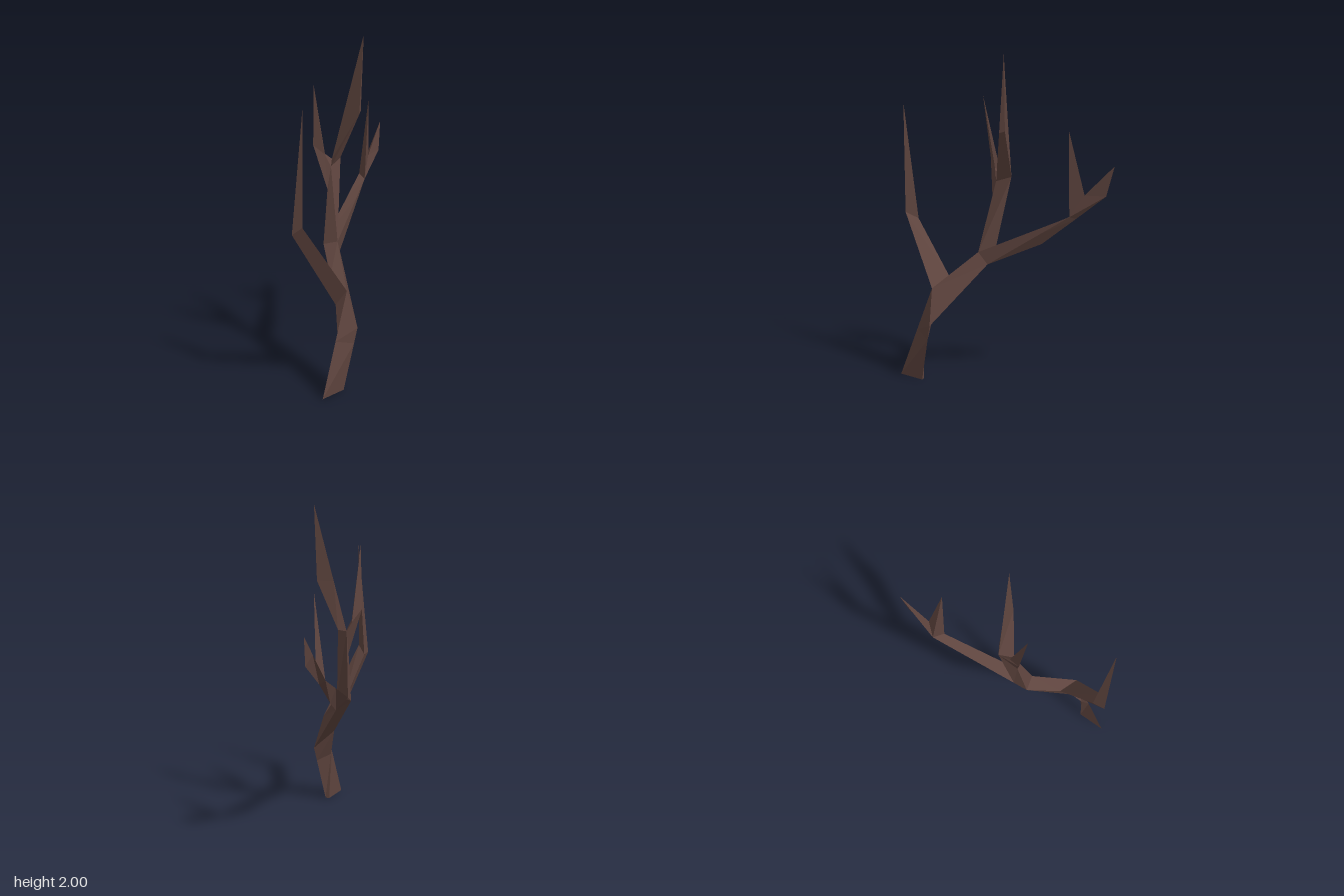
import * as THREE from 'three';

const bark = new THREE.MeshStandardMaterial({ color: 0x5e443e, flatShading: true, side: THREE.DoubleSide });
bark.name = 'bark brown';

const lerp = (a, b, t) => a.map((v, i) => v + (b[i] - v) * t);
const vec = (p) => new THREE.Vector3(...p);

// Skins a chain of equal rings; the enclosed volume decides which way the faces turn.
function limb(name, rings, capStart = false) {
  const n = rings[0].length;
  const faces = [];
  for (let s = 0; s < rings.length - 1; s++) {
    const lo = rings[s], hi = rings[s + 1];
    for (let i = 0; i < n; i++) {
      const j = (i + 1) % n;
      faces.push([lo[i], lo[j], hi[j]], [lo[i], hi[j], hi[i]]);
    }
  }
  if (capStart) faces.push([rings[0][0], rings[0][2], rings[0][1]]);

  const mid = new THREE.Vector3();
  rings.flat().forEach((p) => mid.add(vec(p)));
  mid.divideScalar(n * rings.length);

  let volume = 0;
  const pos = [];
  for (const f of faces) {
    const [a, b, c] = f.map((p) => vec(p).sub(mid));
    const cross = b.clone().sub(a).cross(c.clone().sub(a));
    if (cross.length() < 1e-7) continue;
    volume += cross.dot(a);
    pos.push(f);
  }
  const turned = volume > 0 ? pos : pos.map(([a, b, c]) => [a, c, b]);

  const geo = new THREE.BufferGeometry();
  geo.setAttribute('position', new THREE.Float32BufferAttribute(turned.flat(2), 3));
  geo.computeVertexNormals();
  const mesh = new THREE.Mesh(geo, bark);
  mesh.name = name;
  return mesh;
}

const tip = (p, n = 3) => Array(n).fill(p);

export function createModel() {
  const tree = new THREE.Group();
  tree.name = 'bareTree';

  // Foot of the trunk
  const A = [0.03, 0, 0.66], B = [0.11, 0, 0.5], C = [0.085, 0, 0.497];
  // Corners shared at the first fork
  const P = [0.11, 0.585, 0.43], Q = [0.174, 0.365, 0.43];
  const S = [0.04, 0.49, 0.42], T = [-0.01, 0.64, 0.355];
  // Second fork
  const U1 = [-0.107, 0.77, 0.165], U2 = [-0.018, 0.795, 0.172];
  const U3 = [-0.02, 0.72, 0.115], V = [-0.1, 0.815, 0.08];
  // Fork of the middle branch
  const M1 = [-0.1, 1.09, 0.1], M2 = [-0.085, 1.225, 0.075];
  const M3 = [-0.105, 1.25, -0.015], M4 = [-0.055, 1.26, -0.027];
  // Fork of the back branch
  const E1 = [-0.05, 1.06, -0.445], E2 = [0, 1.04, -0.39];
  const E3 = [-0.012, 1.03, -0.43], K = [0, 1.175, -0.48];

  // Trunk, with a slight bend in its back edge
  tree.add(limb('lowerTrunk', [
    [A, B, C],
    [lerp(A, P, 0.53), lerp(B, Q, 0.75), [0.072, 0.31, 0.49]],
    [P, Q, S],
  ], true));
  tree.add(limb('upperTrunk', [[P, Q, S, T], [U2, U3, U1, U1]]));

  // Front branch, ending in one long spike
  tree.add(limb('frontBranch', [
    [P, S, T],
    [[-0.085, 1.01, 0.65], [-0.145, 0.965, 0.655], [-0.13, 0.965, 0.58]],
    tip([-0.077, 1.69, 0.65]),
  ]));

  // Middle branch with its two spikes
  const top = [0.09, 2, -0.012];
  tree.add(limb('middleBranch', [[U1, U2, U2, V], [M1, M2, M4, M3]]));
  tree.add(limb('middleShortSpike', [
    [M1, M2, M3],
    [[-0.177, 1.36, 0.13], [-0.12, 1.3, 0.09], [-0.125, 1.29, 0.06]],
    tip([-0.16, 1.735, 0.173]),
  ]));
  tree.add(limb('middleTallSpike', [
    [M2, M4, M3],
    [[0.073, 1.54, 0.02], [0.073, 1.55, -0.015], lerp(M3, top, 0.4)],
    tip(top),
  ]));

  // Back branch, bent at a low elbow, with its two spikes
  const end = [0.032, 1.36, -0.66], knee = [0.034, 1.18, -0.613];
  tree.add(limb('backBranch', [
    [V, U2, U3, U3],
    [lerp(V, E1, 0.56), lerp(U2, E2, 0.7), lerp(U3, E2, 0.66), [-0.04, 0.86, -0.217]],
    [E1, E2, E2, E3],
  ]));
  tree.add(limb('backUprightSpike', [[E1, E2, K], tip([0.025, 1.56, -0.387])]));
  tree.add(limb('backEndSpike', [
    [E1, K, E2, E3],
    [lerp(E1, end, 0.6), lerp(K, end, 0.5), knee, knee],
    tip(end, 4),
  ]));

  return tree;
}
